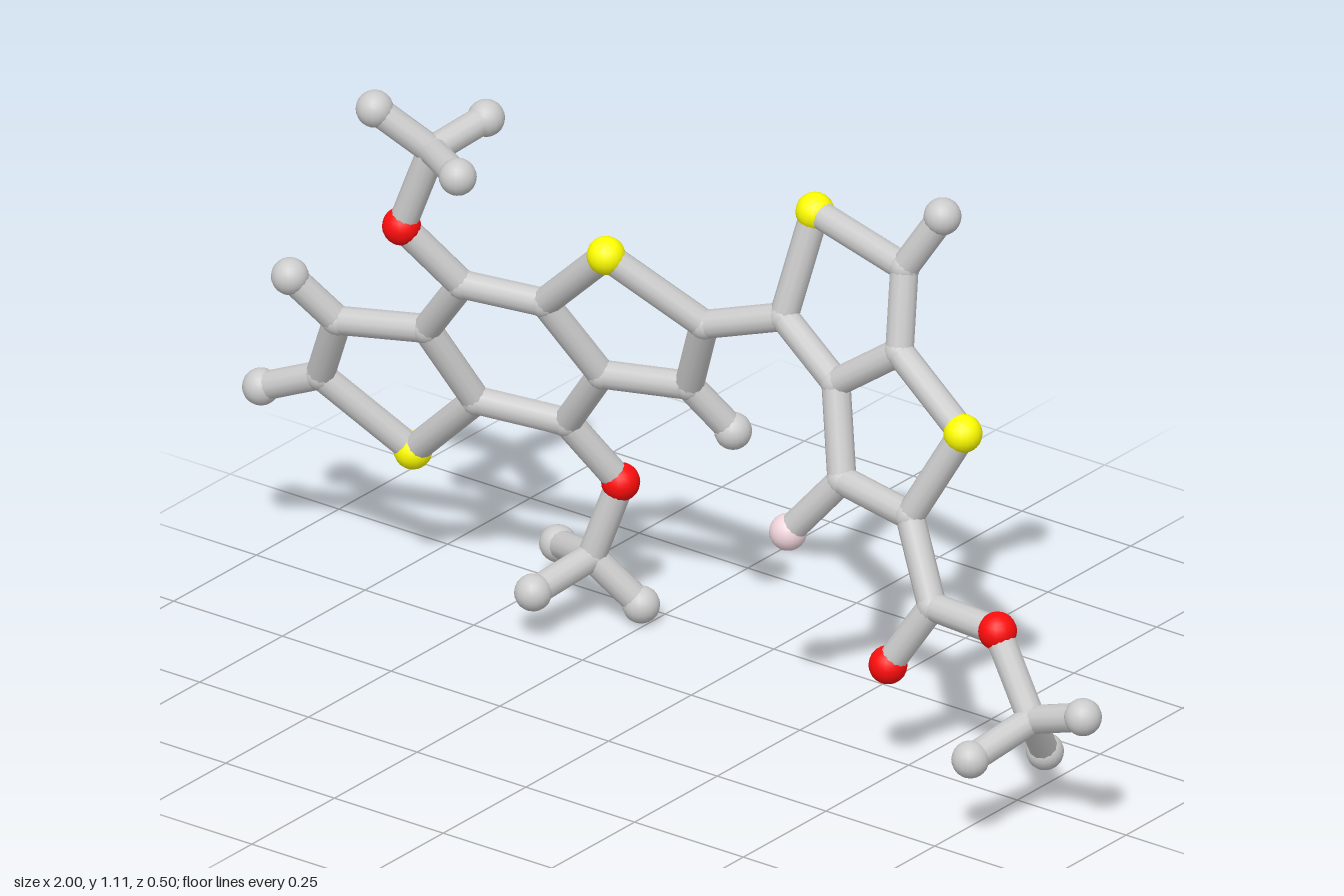
import * as THREE from 'three';

const GREY = 0xcccccc, RED = 0xff0d0d, YELLOW = 0xffff00, PINK = 0xf0d5dc;

// Each fused ring system is flat: depth follows from x and y.
const leftPlane = (x, y) => 0.03 - 0.266 * (x + 0.97) + 0.402 * (y - 0.365);
const rightPlane = (x, y) => -0.16 + 0.0795 * (x - 0.163) - 0.265 * (y - 0.968);

// Flat atoms: [x, y]
const leftAtoms = {
  hA: [-0.967, 0.365], hB: [-0.838, 0.655], hC: [-0.04, 0.46],
  cA: [-0.84, 0.42], cB: [-0.77, 0.565], sA: [-0.70, 0.272], cC: [-0.54, 0.425],
  cD: [-0.595, 0.583], cE: [-0.495, 0.71], cF: [-0.34, 0.70], cG: [-0.27, 0.545],
  cH: [-0.37, 0.41], sB: [-0.185, 0.845], cI: [-0.03, 0.715], cJ: [-0.10, 0.555],
  oA: [-0.58, 0.83], oB: [-0.30, 0.283],
};
const rightAtoms = {
  cK: [0.13, 0.765], sC: [0.163, 0.968], cL: [0.39, 0.93], hD: [0.459, 1.043],
  cM: [0.41, 0.78], cN: [0.275, 0.685], cO: [0.325, 0.52], fA: [0.22, 0.395],
  cP: [0.495, 0.503], sD: [0.587, 0.68], cQ: [0.58, 0.36], oC: [0.50, 0.23], oD: [0.74, 0.36],
};
// Three-pronged end groups: [x, y, z]
const endAtoms = {
  cR: [-0.52, 0.995, 0.10], hE: [-0.61, 1.074, 0.155], hF: [-0.40, 1.005, 0.18], hG: [-0.487, 1.025, -0.02],
  cS: [-0.345, 0.13, -0.152], hH: [-0.475, 0.094, -0.222], hI: [-0.375, 0.10, -0.015], hJ: [-0.265, 0.039, -0.197],
  cT: [0.84, 0.22, 0.075], hK: [0.964, 0.263, 0.083], hL: [0.803, 0.18, 0.212], hM: [0.815, 0.122, 0.002],
};

// Chains of bonded atoms
const chains = [
  'hA cA sA cC cD cB cA', 'cB hB', 'cD cE cF cG cH cC', 'cF sB cI cJ cG', 'cJ hC',
  'cE oA cR hE', 'hF cR hG', 'cH oB cS hH', 'hI cS hJ', 'cI cK',
  'cK sC cL cM cN cK', 'cL hD', 'cM sD cP cO cN', 'cO fA', 'cP cQ oC', 'cQ oD cT hK', 'hL cT hM',
];

// First letter of an atom's key picks its kind
const kinds = {
  c: { name: 'jointBall', color: GREY, radius: 0.029 },
  h: { name: 'endBall', color: GREY, radius: 0.035 },
  s: { name: 'yellowBall', color: YELLOW, radius: 0.036 },
  o: { name: 'redBall', color: RED, radius: 0.036 },
  f: { name: 'pinkBall', color: PINK, radius: 0.035 },
};

export function createModel() {
  const model = new THREE.Group();
  const balls = new THREE.Group();
  const rods = new THREE.Group();
  balls.name = 'balls';
  rods.name = 'rods';
  model.add(balls, rods);

  // Gather all atom positions
  const points = {};
  for (const [k, [x, y]] of Object.entries(leftAtoms)) points[k] = new THREE.Vector3(x, y, leftPlane(x, y));
  for (const [k, [x, y]] of Object.entries(rightAtoms)) points[k] = new THREE.Vector3(x, y, rightPlane(x, y));
  for (const [k, p] of Object.entries(endAtoms)) points[k] = new THREE.Vector3(...p);

  // Balls
  for (const kind of Object.values(kinds)) {
    kind.geometry = new THREE.SphereGeometry(kind.radius, 18, 12);
    kind.material = new THREE.MeshStandardMaterial({ color: kind.color });
  }
  for (const [key, point] of Object.entries(points)) {
    const kind = kinds[key[0]];
    const ball = new THREE.Mesh(kind.geometry, kind.material);
    ball.name = kind.name;
    ball.position.copy(point);
    balls.add(ball);
  }

  // Rods: a unit cylinder stretched between each pair of neighbours
  const rodGeometry = new THREE.CylinderGeometry(0.027, 0.027, 1, 12);
  const rodMaterial = new THREE.MeshStandardMaterial({ color: GREY });
  const up = new THREE.Vector3(0, 1, 0);
  for (const chain of chains) {
    const keys = chain.split(' ');
    for (let i = 1; i < keys.length; i++) {
      const a = points[keys[i - 1]], b = points[keys[i]];
      const rod = new THREE.Mesh(rodGeometry, rodMaterial);
      rod.name = 'rod';
      rod.position.lerpVectors(a, b, 0.5);
      rod.scale.y = a.distanceTo(b);
      rod.quaternion.setFromUnitVectors(up, b.clone().sub(a).normalize());
      rods.add(rod);
    }
  }
  return model;
}
